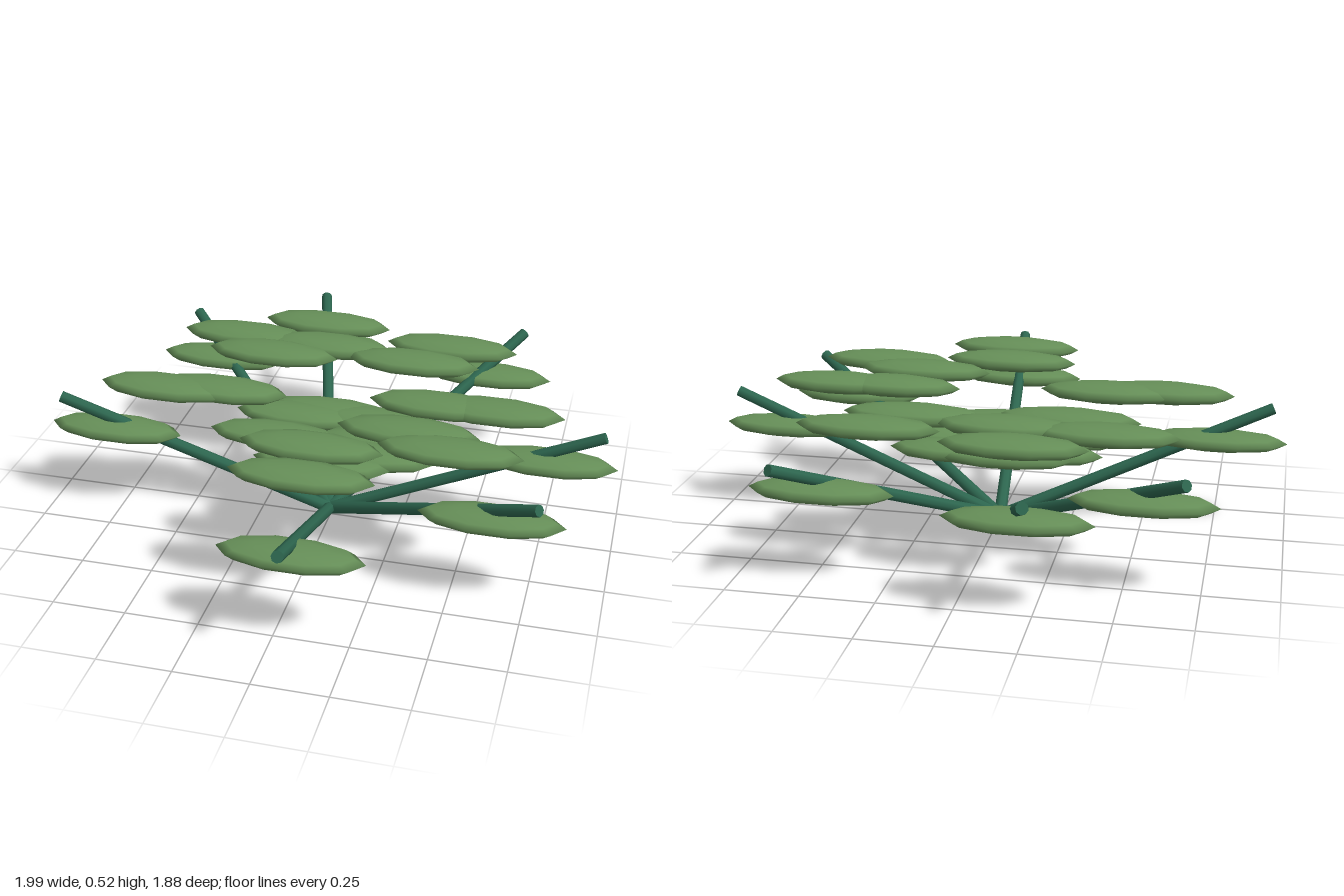
import * as THREE from 'three';

export function createModel() {
  const model = new THREE.Group();
  const stemGreen = new THREE.MeshStandardMaterial({ color: 0x2d664f });
  stemGreen.name = 'stem green';
  const leafGreen = new THREE.MeshStandardMaterial({ color: 0x668f58 });
  leafGreen.name = 'leaf green';

  // Stem tips (x, z), all spreading from one base point at the same height
  const base = new THREE.Vector3(-0.005, 0.02, -0.01);
  const tipHeight = 0.43;
  const tips = [
    [-0.25, -0.93], [0.57, -0.775], [0.945, -0.02], [0.785, 0.49],
    [0.075, 0.93], [-0.94, 0.145], [-0.7, -0.66],
  ];
  // Leaves on each stem: fraction along it, and height
  const leafSpots = [[0.2, 0.312], [0.4, 0.483], [0.6, 0.483], [0.8, 0.312]];

  // Flattened low-sided ellipsoid, long in x
  const leafGeometry = new THREE.SphereGeometry(1, 10, 6);
  leafGeometry.scale(0.24, 0.035, 0.086);

  const up = new THREE.Vector3(0, 1, 0);
  tips.forEach(([x, z], i) => {
    const frond = new THREE.Group();
    frond.name = `frond${i + 1}`;
    const tip = new THREE.Vector3(x, tipHeight, z);
    const along = tip.clone().sub(base);

    const stem = new THREE.Mesh(
      new THREE.CylinderGeometry(0.02, 0.022, along.length(), 8), stemGreen);
    stem.name = 'stem';
    stem.position.copy(base).add(tip).multiplyScalar(0.5);
    stem.quaternion.setFromUnitVectors(up, along.normalize());
    frond.add(stem);

    for (const [t, y] of leafSpots) {
      const leaf = new THREE.Mesh(leafGeometry, leafGreen);
      leaf.name = 'leaf';
      leaf.position.lerpVectors(base, tip, t).setY(y);
      frond.add(leaf);
    }
    model.add(frond);
  });
  return model;
}
